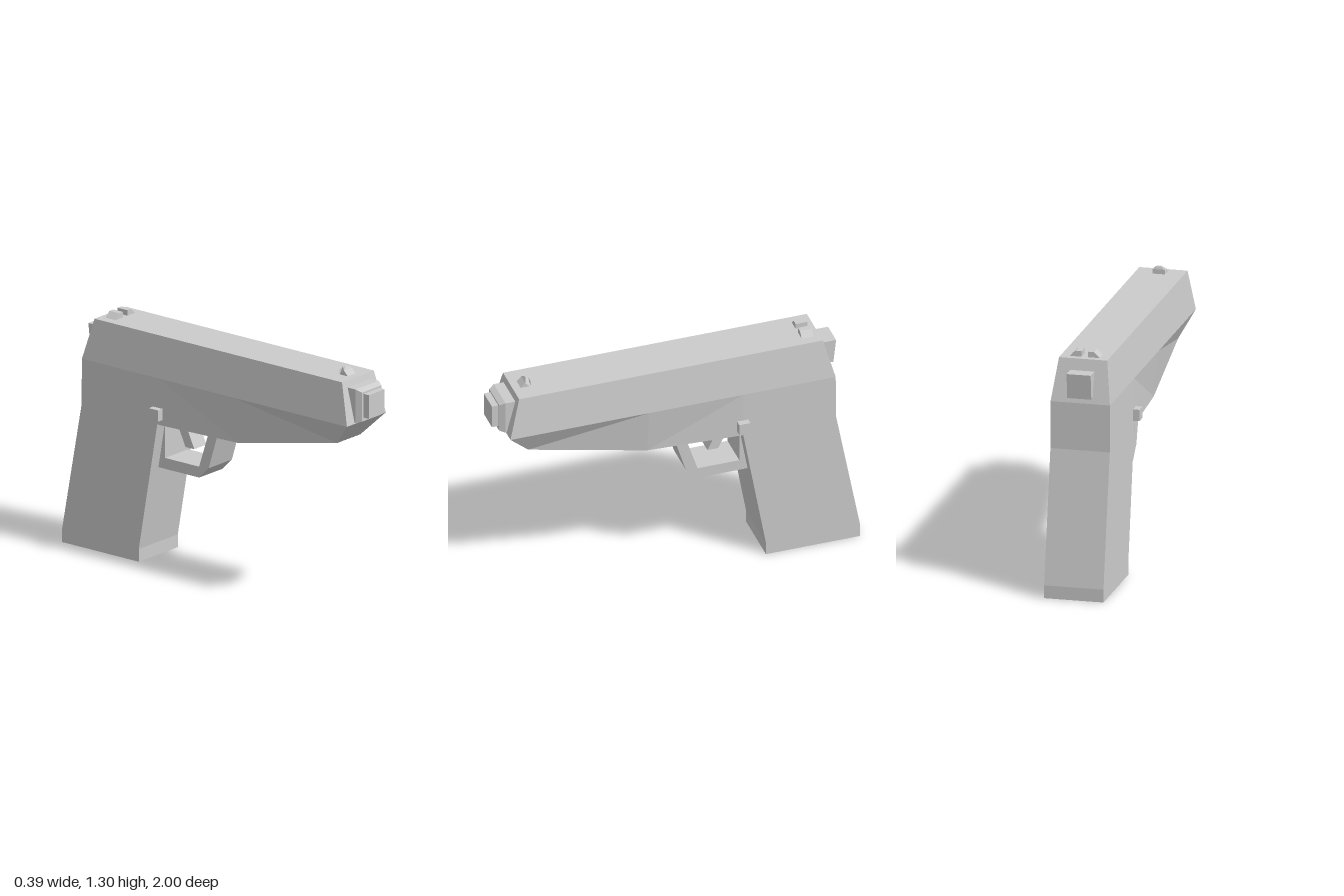
import * as THREE from 'three';

const material = new THREE.MeshStandardMaterial({ color: 0xcccccc, flatShading: true });

// Solid mirrored about x = 0 from a side outline of [z, y, halfWidth] points.
function sideSolid(outline) {
  let pts = outline;
  let flat = pts.map(([z, y]) => new THREE.Vector2(-z, y));
  if (THREE.ShapeUtils.isClockWise(flat)) {
    pts = [...pts].reverse();
    flat = flat.reverse();
  }
  const at = (i, s) => [s * pts[i][2], pts[i][1], pts[i][0]];
  const pos = [];
  for (const [a, b, c] of THREE.ShapeUtils.triangulateShape(flat, [])) {
    pos.push(...at(a, 1), ...at(b, 1), ...at(c, 1));
    pos.push(...at(c, -1), ...at(b, -1), ...at(a, -1));
  }
  for (let i = 0; i < pts.length; i++) {
    const j = (i + 1) % pts.length;
    pos.push(...at(i, -1), ...at(j, -1), ...at(j, 1));
    pos.push(...at(i, -1), ...at(j, 1), ...at(i, 1));
  }
  const geometry = new THREE.BufferGeometry();
  geometry.setAttribute('position', new THREE.Float32BufferAttribute(pos, 3));
  geometry.computeVertexNormals();
  return geometry;
}

// Same half width for every outline point
const even = (halfWidth, points) => points.map(([z, y]) => [z, y, halfWidth]);

export function createModel() {
  const model = new THREE.Group();
  model.name = 'pistol';
  const add = (name, geometry) => {
    const mesh = new THREE.Mesh(geometry, material);
    mesh.name = name;
    model.add(mesh);
    return mesh;
  };

  // Slide with sloped sides and ends
  add('slide', sideSolid([
    [0.93, 1.035, 0.16], [-0.865, 1.035, 0.16], [-0.805, 1.26, 0.13], [0.872, 1.26, 0.13],
  ]));

  // Frame: tapering nose, then a middle that widens into the grip
  add('frameNose', sideSolid([
    [0.81, 0.905, 0.095], [0.165, 0.78, 0.13], [0.165, 1.035, 0.16], [0.93, 1.035, 0.16],
  ]));
  add('frameMiddle', sideSolid([
    [0.165, 0.78, 0.13], [-0.355, 0.78, 0.16], [-0.355, 1.035, 0.16], [0.165, 1.035, 0.16],
  ]));

  // Raked grip with a short upright foot
  add('grip', sideSolid(even(0.16, [
    [-0.48, 0], [-1, 0], [-1, 0.07], [-0.868, 0.78], [-0.865, 1.035],
    [-0.355, 1.035], [-0.355, 0.78], [-0.48, 0.07],
  ])));

  // Trigger guard and trigger
  add('triggerGuard', sideSolid(even(0.095, [
    [0, 0.78], [-0.06, 0.585], [-0.125, 0.52], [-0.42, 0.52], [-0.38, 0.78],
    [-0.355, 0.78], [-0.355, 0.58], [-0.125, 0.58], [-0.06, 0.78],
  ])));
  add('trigger', sideSolid(even(0.05, [
    [-0.26, 0.79], [-0.195, 0.65], [-0.255, 0.65], [-0.32, 0.79],
  ])));

  // Cross pin showing on both sides
  add('crossPin', new THREE.BoxGeometry(0.39, 0.062, 0.062)).position.set(0, 0.842, -0.352);

  // Stepped square muzzle
  add('muzzleBlock', sideSolid(even(0.095, [
    [0.935, 1.04], [0.8, 1.04], [0.8, 1.225], [0.935, 1.225],
  ])));
  add('muzzleBevel', sideSolid([
    [0.965, 1.05, 0.08], [0.935, 1.04, 0.095], [0.935, 1.225, 0.095], [0.965, 1.21, 0.08],
  ]));
  add('barrelEnd', new THREE.BoxGeometry(0.13, 0.13, 0.06)).position.set(0, 1.135, 0.97);

  // Hammer at the back
  add('hammer', sideSolid(even(0.065, [
    [-0.8, 1.2], [-0.84, 1.07], [-0.885, 1.065], [-0.9, 1.2],
  ])));

  // Front sight with a bevelled top
  add('frontSight', sideSolid([
    [0.835, 1.255, 0.033], [0.805, 1.285, 0.033], [0.795, 1.3, 0.012],
    [0.78, 1.3, 0.012], [0.775, 1.285, 0.033], [0.775, 1.255, 0.033],
  ]));

  // Pair of rear sight blades with sloped outer sides
  for (const side of [1, -1]) {
    const blade = new THREE.Shape([
      [0.018, 1.255], [0.08, 1.255], [0.08, 1.26], [0.05, 1.29], [0.018, 1.29],
    ].map(([x, y]) => new THREE.Vector2(side * x, y)));
    add(side > 0 ? 'rearSightLeft' : 'rearSightRight',
      new THREE.ExtrudeGeometry(blade, { depth: 0.065, bevelEnabled: false })).position.z = -0.77;
  }

  return model;
}
